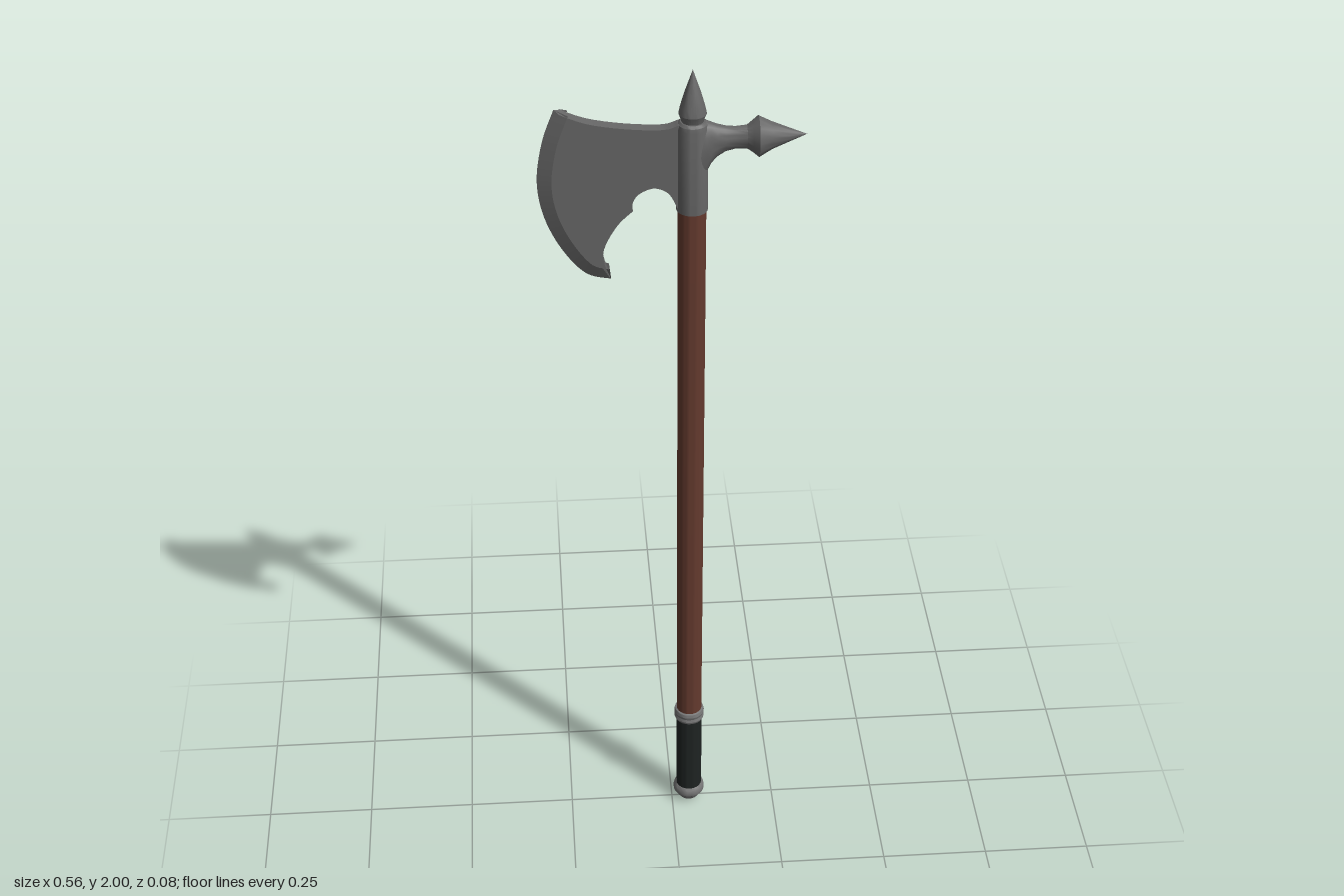
import * as THREE from 'three';
import { toCreasedNormals } from 'three/addons/utils/BufferGeometryUtils.js';

const AXIS_X = 0.042; // shaft sits off centre because the blade is wider than the pick
const steel = new THREE.MeshStandardMaterial({ color: 0x666666 });
steel.name = 'steel';
const ringSteel = new THREE.MeshStandardMaterial({ color: 0x747474 });
ringSteel.name = 'ring steel';
const wood = new THREE.MeshStandardMaterial({ color: 0x643a2e });
wood.name = 'wood';
const leather = new THREE.MeshStandardMaterial({ color: 0x1e2322 });
leather.name = 'leather';

const v2 = (points) => points.map(([x, y]) => new THREE.Vector2(x, y));

// Turned part around the shaft axis, profile listed from bottom to top
function turned(name, profile, material) {
  const geometry = toCreasedNormals(new THREE.LatheGeometry(v2(profile), 32), 0.5);
  const mesh = new THREE.Mesh(geometry, material);
  mesh.name = name;
  mesh.position.x = AXIS_X;
  return mesh;
}

// Crescent blade: flat plate whose cutting edge narrows to a line
function makeBlade() {
  const half = 0.013;
  const bevel = 0.03;
  const edge = new THREE.SplineCurve(v2([
    [-0.24, 1.92], [-0.266, 1.846], [-0.279, 1.756], [-0.266, 1.671],
    [-0.23, 1.592], [-0.182, 1.534], [-0.129, 1.518],
  ])).getPoints(36);
  const hook = new THREE.SplineCurve(v2([
    [-0.129, 1.518], [-0.145, 1.571], [-0.14, 1.608], [-0.113, 1.656], [-0.082, 1.687],
  ])).getPoints(16);
  const notch = new THREE.SplineCurve(v2([
    [-0.082, 1.687], [-0.083, 1.703], [-0.071, 1.725], [-0.04, 1.739],
    [-0.013, 1.73], [0.001, 1.712], [0.012, 1.686],
  ])).getPoints(20);
  const top = new THREE.SplineCurve(v2([
    [0.012, 1.882], [-0.02, 1.873], [-0.098, 1.878], [-0.177, 1.893], [-0.24, 1.92],
  ])).getPoints(16);
  const outline = [
    ...edge, ...hook.slice(1), ...notch.slice(1),
    new THREE.Vector2(0.04, 1.686), new THREE.Vector2(0.04, 1.882),
    ...top.slice(0, -1),
  ];
  const geometry = new THREE.ExtrudeGeometry(new THREE.Shape(outline), {
    depth: half * 2, steps: 2, bevelEnabled: false,
  });
  geometry.translate(0, 0, -half);

  // Pull the cutting edge inwards on both faces, keeping its middle line
  const pos = geometry.attributes.position;
  const p = new THREE.Vector2();
  for (let i = 0; i < pos.count; i++) {
    if (Math.abs(pos.getZ(i)) < half / 2) continue;
    p.set(pos.getX(i), pos.getY(i));
    const k = edge.findIndex((e) => e.distanceTo(p) < 1e-4);
    if (k < 0) continue;
    const t = k / (edge.length - 1);
    const angle = -0.3 + 2 * t * t;
    pos.setXY(i, p.x + bevel * Math.cos(angle), p.y + bevel * Math.sin(angle));
  }
  const mesh = new THREE.Mesh(toCreasedNormals(geometry, 0.38), steel);
  mesh.name = 'blade';
  return mesh;
}

// Back pick: elliptical sections [x, bottom y, top y, z radius] from tip to socket
function makePick() {
  const sections = [
    [0.278, 1.847, 1.847, 0], [0.24, 1.832, 1.862, 0.014], [0.205, 1.818, 1.876, 0.027],
    [0.178, 1.802, 1.889, 0.04], [0.166, 1.812, 1.88, 0.029], [0.154, 1.82, 1.871, 0.02],
    [0.13, 1.82, 1.869, 0.017], [0.11, 1.815, 1.871, 0.019], [0.092, 1.803, 1.876, 0.022],
    [0.08, 1.788, 1.881, 0.025], [0.071, 1.768, 1.885, 0.027], [0.05, 1.73, 1.885, 0.03],
  ];
  const sides = 24;
  const geometry = new THREE.CylinderGeometry(1, 1, 1, sides, sections.length - 1, true);
  const pos = geometry.attributes.position;
  for (let i = 0; i < pos.count; i++) {
    const [x, low, high, rz] = sections[Math.floor(i / (sides + 1))];
    const y = (low + high) / 2 - ((high - low) / 2) * pos.getX(i);
    pos.setXYZ(i, x, y, rz * pos.getZ(i));
  }
  const mesh = new THREE.Mesh(toCreasedNormals(geometry, 0.55), steel);
  mesh.name = 'backPick';
  return mesh;
}

export function createModel() {
  const axe = new THREE.Group();
  axe.name = 'poleaxe';

  // Shaft and grip
  axe.add(turned('shaft', [[0.03, 0.28], [0.03, 1.7]], wood));
  axe.add(turned('grip', [[0.031, 0.04], [0.031, 0.275]], leather));

  // Metal fittings
  axe.add(turned('gripRing', [
    [0.029, 0.264], [0.034, 0.266], [0.036, 0.272], [0.034, 0.279],
    [0.036, 0.286], [0.034, 0.294], [0.029, 0.296],
  ], ringSteel));
  axe.add(turned('pommel', [
    [0, 0], [0.014, 0.002], [0.024, 0.007], [0.03, 0.016], [0.032, 0.022],
    [0.037, 0.027], [0.038, 0.034], [0.036, 0.043], [0.032, 0.048], [0.028, 0.049],
  ], ringSteel));

  // Axe head
  axe.add(turned('socket', [
    [0.029, 1.68], [0.033, 1.681], [0.033, 1.872], [0.031, 1.881], [0.026, 1.886], [0, 1.887],
  ], steel));
  axe.add(turned('topSpike', [
    [0.022, 1.882], [0.025, 1.893], [0.029, 1.903], [0.026, 1.918], [0.017, 1.95], [0, 2],
  ], steel));
  axe.add(makeBlade(), makePick());

  return axe;
}
